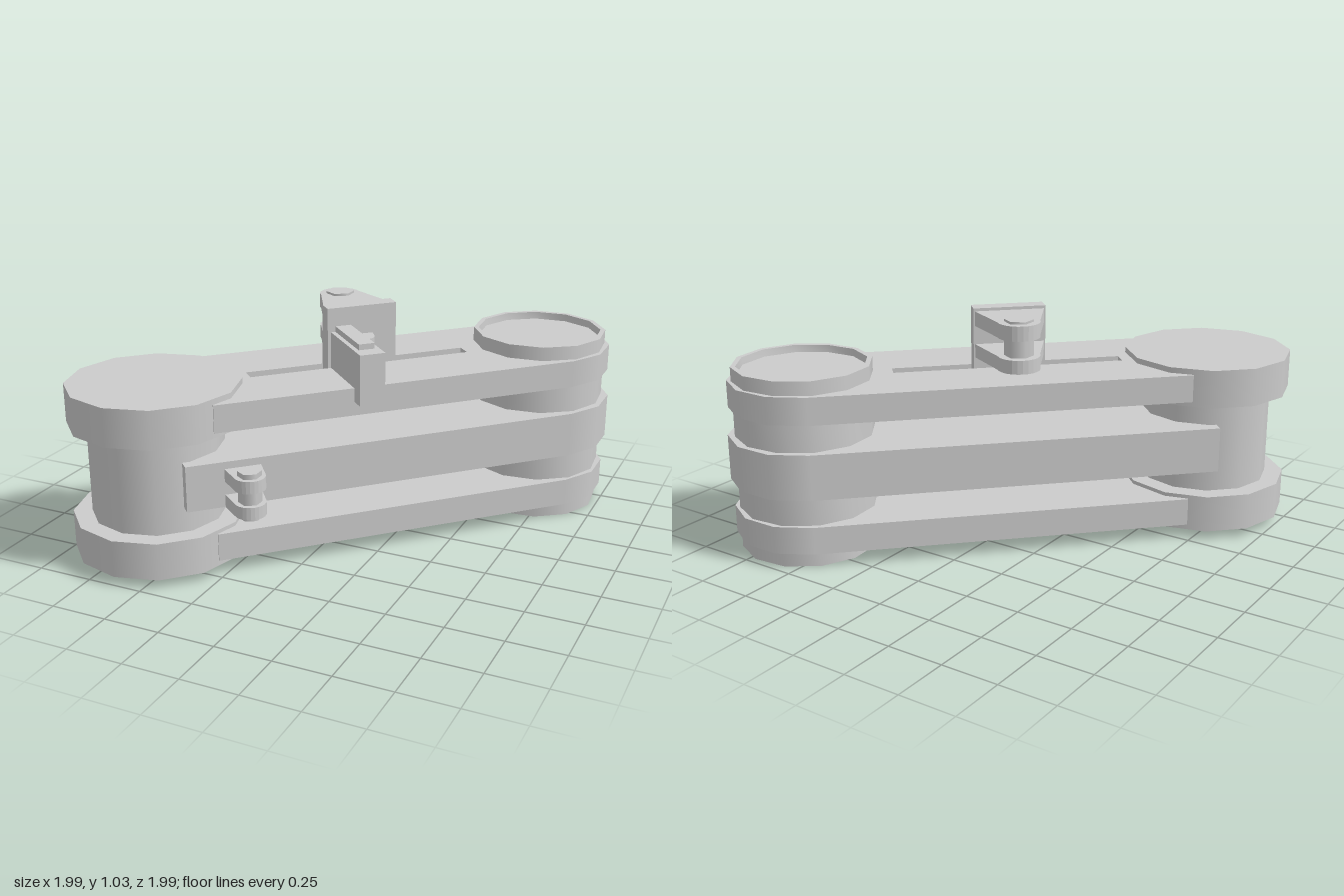
import * as THREE from 'three';
import { toCreasedNormals } from 'three/addons/utils/BufferGeometryUtils.js';

const mat = new THREE.MeshStandardMaterial({ color: 0xcccccc });
const POST = -0.884, HUB = 0.948; // the two pivots along the arm

function add(parent, name, geo, x = 0, y = 0, z = 0, ry = 0) {
  const m = new THREE.Mesh(geo, mat);
  m.name = name;
  m.position.set(x, y, z);
  m.rotation.y = ry;
  parent.add(m);
  return m;
}

// Box given by its limits
function box(parent, name, x0, x1, y0, y1, z0, z1) {
  return add(parent, name, new THREE.BoxGeometry(x1 - x0, y1 - y0, z1 - z0),
    (x0 + x1) / 2, (y0 + y1) / 2, (z0 + z1) / 2);
}

// Upright cylinder between two heights
function drum(parent, name, r, y0, y1, x, z, sides, ry) {
  return add(parent, name, new THREE.CylinderGeometry(r, r, y1 - y0, sides), x, (y0 + y1) / 2, z, ry);
}

// Plan shape raised vertically; the shape's +y becomes -z
function slab(shape, height) {
  const g = new THREE.ExtrudeGeometry(shape, { depth: height, bevelEnabled: false, curveSegments: 6 });
  return g.rotateX(-Math.PI / 2);
}

function rect(target, x0, x1, w) {
  target.moveTo(x0, -w);
  target.lineTo(x1, -w);
  target.lineTo(x1, w);
  target.lineTo(x0, w);
  target.closePath();
  return target;
}

// Flat link with a square start and a faceted round end at the hub
function link(parent, name, x0, w, y0, y1, slot) {
  const g = new THREE.Group();
  g.name = name;
  const shape = rect(new THREE.Shape(), x0, HUB, w);
  if (slot) shape.holes.push(rect(new THREE.Path(), -0.47, 0.56, 0.035));
  add(g, name + 'Bar', slab(shape, y1 - y0), 0, y0, 0);
  add(g, name + 'RoundEnd', new THREE.CylinderGeometry(w, w, y1 - y0, 6, 1, false, 0, Math.PI),
    HUB, (y0 + y1) / 2, 0);
  parent.add(g);
}

// Tapering ear with a rounded tip
function ear(base, reach, r, height) {
  const s = new THREE.Shape();
  s.moveTo(-base, 0);
  s.lineTo(base, 0);
  s.absarc(0, reach, r, 0, Math.PI, false);
  s.closePath();
  return slab(s, height);
}

// Pair of ears joined by a six-sided pin
function clevis(parent, name, x, z, ry, base, reach, r, plates, pinR, pinY) {
  const g = new THREE.Group();
  g.name = name;
  g.position.set(x, 0, z);
  g.rotation.y = ry;
  for (const [y0, y1] of plates) add(g, name + 'Ear', ear(base, reach, r, y1 - y0), 0, y0, 0);
  drum(g, name + 'Pin', pinR, pinY[0], pinY[1], 0, -reach, 6, -Math.PI / 4);
  parent.add(g);
}

export function createModel() {
  const root = new THREE.Group();
  root.name = 'pivotingLinkage';
  const arm = new THREE.Group();
  arm.name = 'arm';
  arm.rotation.y = Math.PI / 4; // the arm lies on the diagonal
  root.add(arm);

  // Flanged post
  drum(arm, 'postColumn', 0.293, 0.19, 0.63, POST, 0, 12, -Math.PI / 4);
  for (const [y0, y1] of [[0.04, 0.205], [0.62, 0.79]])
    drum(arm, 'postFlange', 0.375, y0, y1, POST, 0, 12, -Math.PI / 4);

  // Hub with a recessed face at both ends
  const profile = [[0, 0.03], [0.28, 0.03], [0.283, 0], [0.305, 0],
    [0.305, 0.828], [0.283, 0.828], [0.28, 0.795], [0, 0.795]].map(p => new THREE.Vector2(...p));
  add(arm, 'hub', toCreasedNormals(new THREE.LatheGeometry(profile, 12), 0.6), HUB, 0, 0, -0.96);

  // Three stacked links, the top one slotted
  link(arm, 'bottomLink', -0.71, 0.325, 0.065, 0.188, false);
  link(arm, 'middleLink', -0.84, 0.335, 0.315, 0.517, false);
  link(arm, 'topLink', -0.71, 0.325, 0.643, 0.765, true);

  // Side clevis on the middle link
  clevis(arm, 'sideClevis', -0.597, 0.325, Math.PI, 0.08, 0.11, 0.067,
    [[0.315, 0.37], [0.43, 0.485]], 0.05, [0.3, 0.507]);

  // Slider standing in the slot, with a clevis behind it
  box(arm, 'sliderPlate', -0.115, 0.205, 0.765, 1.035, -0.035, 0.035);
  box(arm, 'sliderTongue', -0.115, 0.205, 0.66, 0.765, -0.034, 0.034);
  clevis(arm, 'sliderClevis', 0.045, -0.03, 0, 0.155, 0.215, 0.092,
    [[0.815, 0.875], [0.957, 1.022]], 0.063, [0.805, 1.032]);

  // Hooked handle reaching over the link's edge
  const handle = new THREE.Group();
  handle.name = 'hookHandle';
  box(handle, 'handleBar', -0.1, 0.013, 0.765, 0.928, 0.03, 0.31);
  box(handle, 'handleHook', -0.1, 0.013, 0.705, 0.928, 0.305, 0.39);
  box(handle, 'handleTopPad', -0.079, -0.008, 0.92, 0.953, 0.035, 0.32);
  arm.add(handle);

  // Small rounded ear beside the handle
  add(arm, 'handleEar', ear(0.065, 0.035, 0.058, 0.115), 0.03, 0.793, 0.033, Math.PI);

  return root;
}
